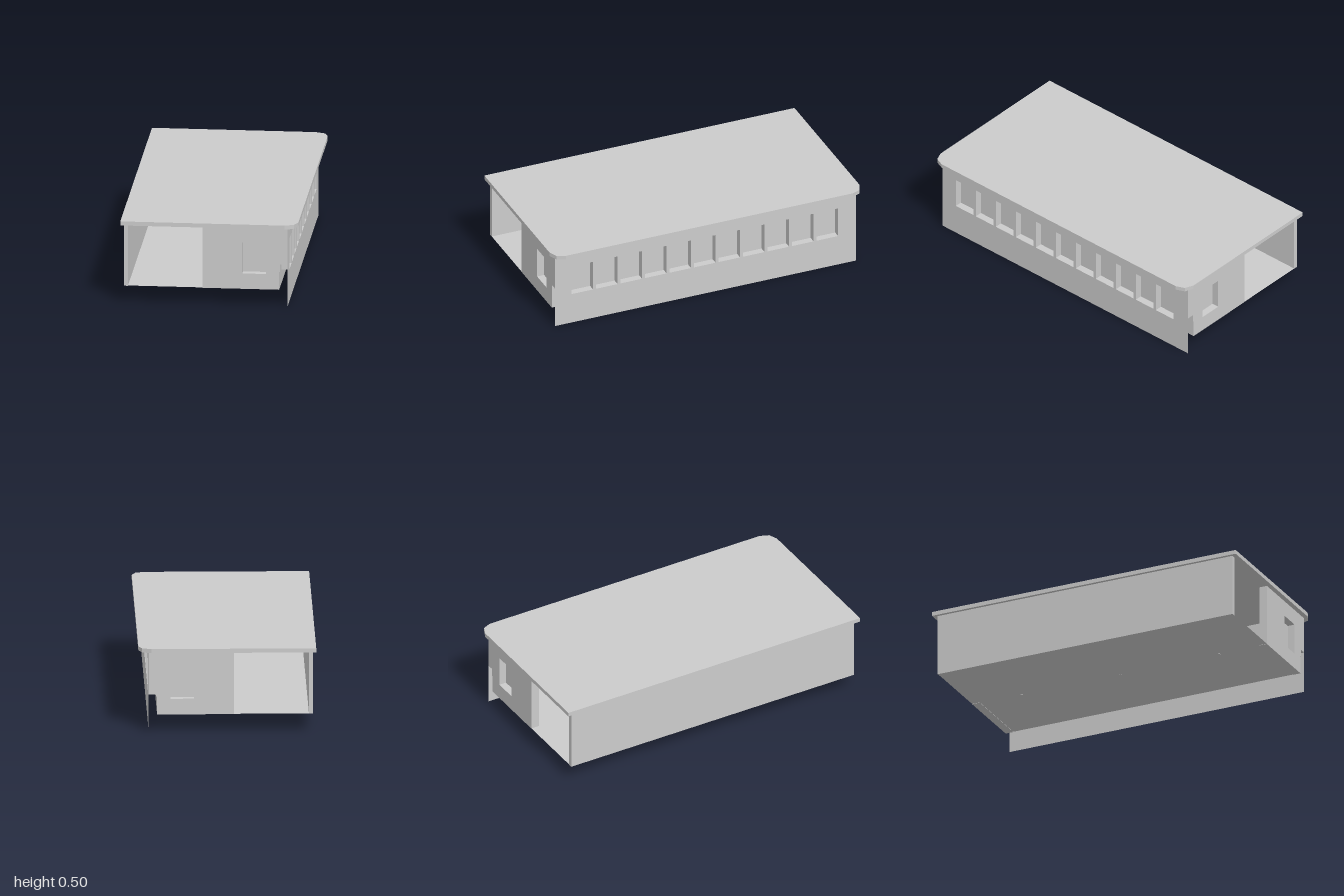
import * as THREE from 'three';

const grey = new THREE.MeshStandardMaterial({ color: 0xcccccc, flatShading: true, side: THREE.DoubleSide });

const FLOOR = 0.1, EAVES = 0.48, ROOF_TOP = 0.505;
const LEFT = -0.51, RIGHT = 0.465, END = 0.97;
const SILL = 0.195, HEAD = 0.385, WIN_W = 0.14, DEPTH = 0.045;

function toShape(points) {
  return new THREE.Shape(points.map(([x, y]) => new THREE.Vector2(x, y)));
}

// Rectangular window opening for a wall shape
function opening(cx) {
  const a = cx - WIN_W / 2, b = cx + WIN_W / 2;
  return new THREE.Path([[a, SILL], [a, HEAD], [b, HEAD], [b, SILL]].map(([x, y]) => new THREE.Vector2(x, y)));
}

function add(parent, name, geometry, x = 0, y = 0, z = 0) {
  const mesh = new THREE.Mesh(geometry, grey);
  mesh.name = name;
  mesh.position.set(x, y, z);
  parent.add(mesh);
  return mesh;
}

// Open-fronted box: four reveals and a pane behind them
function recessGeometry() {
  const g = new THREE.BoxGeometry(WIN_W, HEAD - SILL, DEPTH);
  const idx = Array.from(g.index.array);
  idx.splice(24, 6);
  g.setIndex(idx);
  g.clearGroups();
  return g;
}

export function createModel() {
  const model = new THREE.Group();
  model.name = 'building';
  const midY = (FLOOR + EAVES) / 2, wallH = EAVES - FLOOR;

  // Flat roof, clipped round at the two right-hand corners
  const roofShape = toShape([
    [-0.528, -1], [0.45, -1], [0.503, -0.978], [0.525, -0.925],
    [0.525, 0.925], [0.503, 0.978], [0.45, 1], [-0.528, 1],
  ]);
  const roofGeo = new THREE.ExtrudeGeometry(roofShape, { depth: ROOF_TOP - EAVES, bevelEnabled: false });
  roofGeo.rotateX(-Math.PI / 2);
  add(model, 'roof', roofGeo, 0, EAVES, 0);

  // Floor sheet
  const floorGeo = new THREE.PlaneGeometry(0.905, 2 * END).rotateX(-Math.PI / 2);
  add(model, 'floor', floorGeo, -0.0375, FLOOR + 0.002, 0);

  // Blank left wall
  add(model, 'leftWall', new THREE.BoxGeometry(0.025, wallH, 2 * END), LEFT + 0.0125, midY, 0);

  // End walls: half width, notched beside the right wall, one window each
  const t = 0.05;
  for (const [side, name] of [[1, 'front'], [-1, 'back']]) {
    const shape = toShape([
      [-0.042, FLOOR], [0.415, FLOOR], [0.415, 0.21], [0.42, 0.21], [0.42, 0.257],
      [RIGHT, 0.257], [RIGHT, EAVES], [-0.042, EAVES],
    ]);
    shape.holes.push(opening(0.265));
    const geo = new THREE.ExtrudeGeometry(shape, { depth: t, bevelEnabled: false });
    add(model, name + 'Wall', geo, 0, 0, side > 0 ? END - t : -END);
    add(model, name + 'WindowPane', new THREE.PlaneGeometry(WIN_W, HEAD - SILL),
      0.265, (SILL + HEAD) / 2, side * (END - DEPTH));
  }

  // Right wall: outer sheet down to the ground, row of eleven recessed windows
  const rightWall = new THREE.Group();
  rightWall.name = 'rightWall';
  rightWall.rotation.y = Math.PI / 2;
  rightWall.position.x = RIGHT;
  model.add(rightWall);
  const sheet = toShape([[-END, 0], [END, 0], [END, EAVES], [-END, EAVES]]);
  const recess = recessGeometry();
  for (let i = 0; i < 11; i++) {
    const cx = -0.795 + 0.158 * i;
    sheet.holes.push(opening(cx));
    add(rightWall, 'sideWindow', recess, cx, (SILL + HEAD) / 2, -DEPTH / 2);
  }
  add(rightWall, 'outerSheet', new THREE.ShapeGeometry(sheet));
  // Inner lining
  add(rightWall, 'innerLining', new THREE.PlaneGeometry(2 * END - 2 * t, wallH), 0, midY, -t);

  // Row of slim posts under the middle of the roof
  for (const z of [-0.65, 0, 0.65]) {
    add(model, 'post', new THREE.CylinderGeometry(0.011, 0.011, wallH, 10), -0.03, midY, z);
  }

  return model;
}
